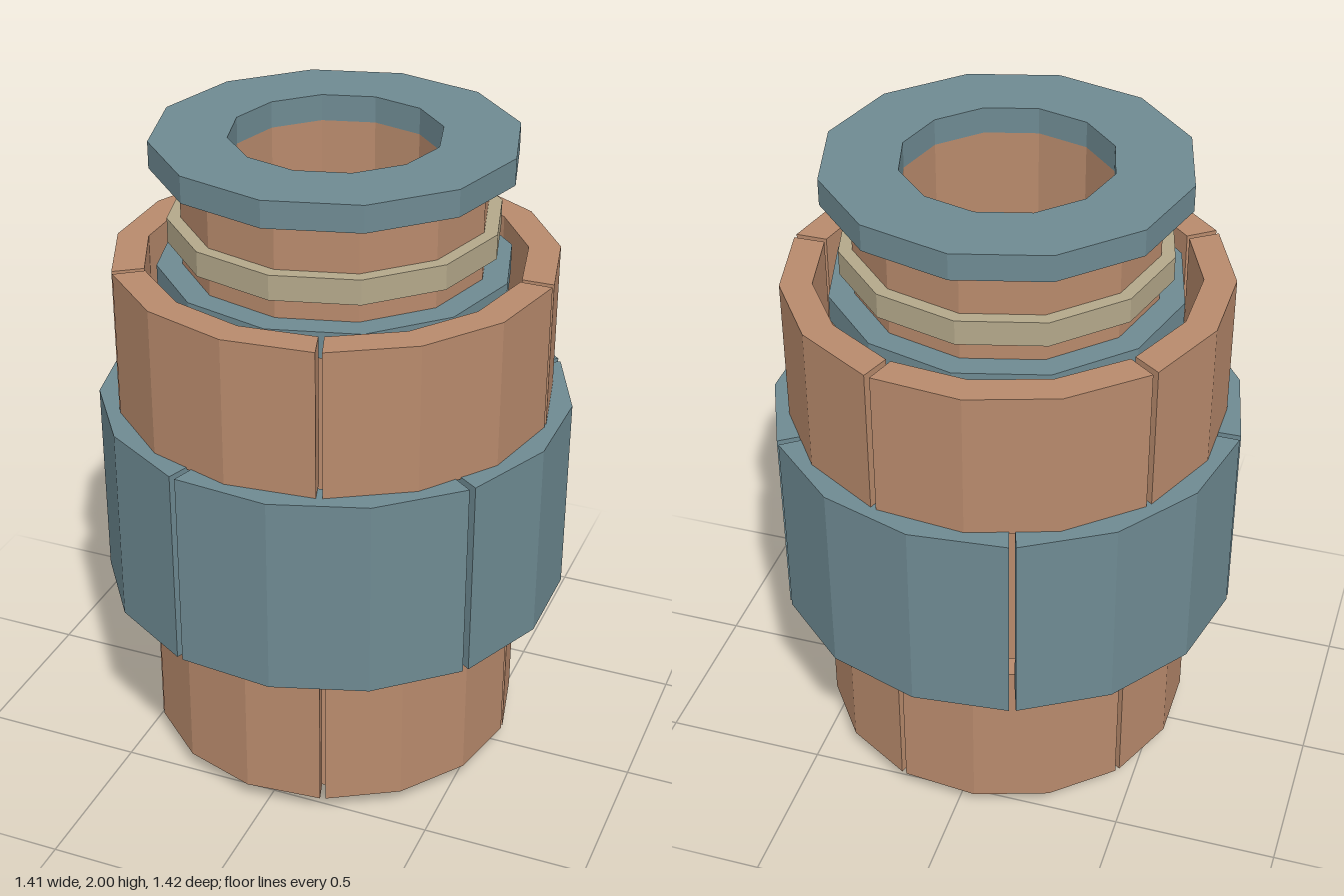
import * as THREE from 'three';

const copper = new THREE.MeshStandardMaterial({ color: 0xb88a6c });
copper.name = 'copper';
const slate = new THREE.MeshStandardMaterial({ color: 0x6e8a92 });
slate.name = 'slate';
const sand = new THREE.MeshStandardMaterial({ color: 0xb4a88a });
sand.name = 'sand';

const polar = (r, a) => new THREE.Vector2(r * Math.cos(a), r * Math.sin(a));

// Regular polygon with a vertex on +x
const polygon = (r, sides = 12) =>
  Array.from({ length: sides }, (_, i) => polar(r, (i / sides) * Math.PI * 2));

// Upright prism between two heights, with an optional hole
function prism(name, outline, y0, y1, material, hole) {
  const shape = new THREE.Shape(outline);
  if (hole) shape.holes.push(new THREE.Path(hole));
  const geometry = new THREE.ExtrudeGeometry(shape, { depth: y1 - y0, bevelEnabled: false });
  geometry.rotateX(-Math.PI / 2).translate(0, y0, 0);
  const mesh = new THREE.Mesh(geometry, material);
  mesh.name = name;
  return mesh;
}

// Five curved blocks of three facets each, with narrow gaps between them
function splitRing(name, rOuter, rInner, y0, y1, startDeg, material) {
  const ring = new THREE.Group();
  ring.name = name;
  const gap = THREE.MathUtils.degToRad(0.8);
  const span = (Math.PI * 2) / 5;
  for (let i = 0; i < 5; i++) {
    const a0 = THREE.MathUtils.degToRad(startDeg) + i * span + gap;
    const angles = [0, 1, 2, 3].map((k) => a0 + (k / 3) * (span - 2 * gap));
    const outline = [
      ...angles.map((a) => polar(rOuter, a)),
      ...angles.reverse().map((a) => polar(rInner, a)),
    ];
    ring.add(prism(name + 'Block', outline, y0, y1, material));
  }
  return ring;
}

export function createModel() {
  const model = new THREE.Group();
  model.name = 'splitRingCoupling';

  // Central tube, closed at the bottom
  model.add(prism('coreBase', polygon(0.45), 0, 0.1, copper));
  model.add(prism('coreTube', polygon(0.45), 0.1, 1.92, copper, polygon(0.31)));

  // Collars around the tube
  model.add(prism('topFlange', polygon(0.535), 1.92, 2, slate, polygon(0.31)));
  model.add(prism('neckRing', polygon(0.49), 1.69, 1.765, sand, polygon(0.45)));
  model.add(prism('innerFlange', polygon(0.525), 1.54, 1.62, slate, polygon(0.45)));

  // Segmented sleeves
  model.add(splitRing('lowerSleeve', 0.575, 0.505, 0.06, 0.57, 0, copper));
  model.add(splitRing('middleSleeve', 0.715, 0.62, 0.567, 1.185, 36, slate));
  model.add(splitRing('upperSleeve', 0.66, 0.565, 1.18, 1.635, 0, copper));

  for (const part of model.children) part.position.x = 0.005;
  return model;
}
